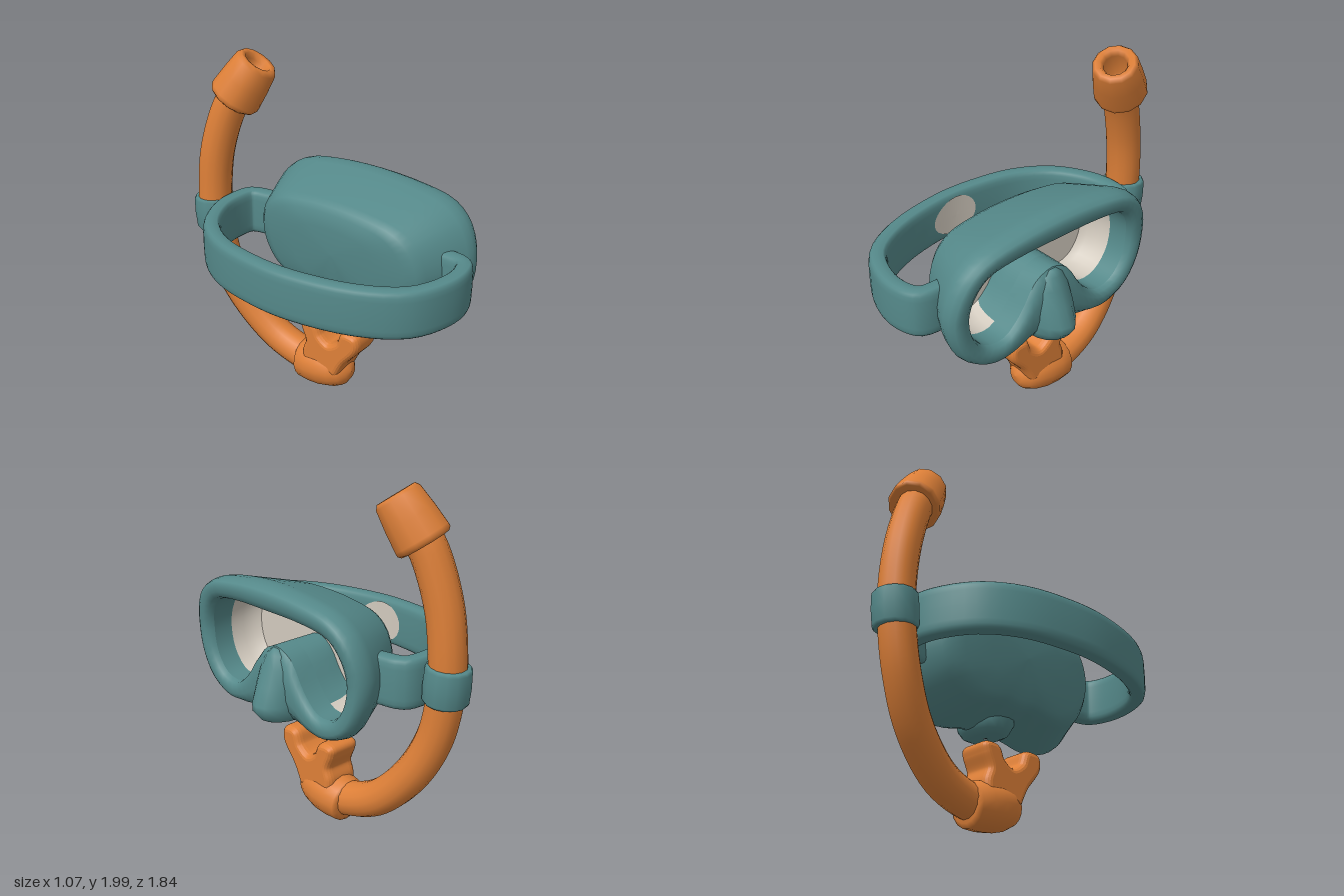
import * as THREE from 'three';

const V = (x, y, z) => new THREE.Vector3(x, y, z);
const mat = (name, color, side = THREE.FrontSide) => {
  const m = new THREE.MeshStandardMaterial({ color, side });
  m.name = name;
  return m;
};

// Skin a list of closed rings; keep(j) picks which ring segments get faces
function loft(rings, keep = () => true) {
  const n = rings[0].length, index = [];
  for (let i = 0; i < rings.length - 1; i++) {
    for (let j = 0; j < n; j++) {
      if (!keep(j)) continue;
      const k = (j + 1) % n, a = i * n, b = a + n;
      index.push(a + j, a + k, b + j, a + k, b + k, b + j);
    }
  }
  const g = new THREE.BufferGeometry().setFromPoints(rings.flat());
  g.setIndex(index);
  g.computeVertexNormals();
  return g;
}

// Closed smooth outline in (z offset, y), mirrored from one half
const MID = 0.115, N = 60;
function outline(half) {
  const pts = half.map(([u, y]) => V(u, y, 0));
  const mirror = pts.slice(1, -1).reverse().map(p => V(-p.x, p.y, 0));
  const curve = new THREE.CatmullRomCurve3([...pts, ...mirror], true, 'centripetal');
  return Array.from({ length: N }, (_, i) => curve.getPoint(i / N));
}
const OUTER = outline([[0, 1.385], [0.3, 1.365], [0.5, 1.32], [0.62, 1.22], [0.685, 1.03], [0.66, 0.85],
  [0.57, 0.7], [0.42, 0.62], [0.28, 0.615], [0.13, 0.645], [0, 0.625]]);
const INNER = outline([[0, 1.24], [0.3, 1.235], [0.47, 1.2], [0.545, 1.1], [0.565, 0.98], [0.535, 0.85],
  [0.45, 0.755], [0.33, 0.74], [0.22, 0.83], [0.11, 0.99], [0, 1.04]]);

export function createModel() {
  const group = new THREE.Group();
  const teal = mat('tealRubber', 0x55898a);
  const orange = mat('orangePlastic', 0xde8038);
  const grey = mat('paleLens', 0xd2cabe, THREE.DoubleSide);
  const add = (name, geo, m) => {
    const mesh = new THREE.Mesh(geo, m);
    mesh.name = name;
    group.add(mesh);
    return mesh;
  };

  // Mask shell: closed back, flaring sides, rounded front rim
  const lean = y => 0.045 * THREE.MathUtils.clamp((y - 1) / 0.33, 0, 1);
  const shell = [[-0.03, 0, 0], [-0.026, 0.4, 0.42], [-0.008, 0.66, 0.64], [0.02, 0.765, 0.72], [0.06, 0.82, 0.78],
    [0.2, 0.92, 0.9], [0.29, 0.985, 0.985], [0.33, 1, 1], [0.37, 0.995, 0.98]].map(([x, su, sy]) => OUTER.map(p => {
    const y = 1 + (p.y - 1) * sy;
    const front = THREE.MathUtils.clamp((x - 0.1) / 0.25, 0, 1);
    return V(x + front * lean(y) - (1 - front) * 0.09 * (y - 1), y, MID + p.x * su);
  }));
  const rim = [[0.402, 0.16], [0.415, 0.35], [0.415, 0.65], [0.4, 0.9], [0.37, 1]].map(([x, t]) =>
    OUTER.map((p, i) => {
      const q = p.clone().lerp(INNER[i], t);
      return V(x + lean(q.y), q.y, MID + q.x);
    }));
  add('maskShell', loft([...shell, ...rim]), teal);

  // Cavity: rubber lip and nose ridge, then a pale dished back
  const inset = (x, s) => INNER.map(p => V(x, 1.04 + (p.y - 1.04) * s, MID + p.x * s));
  const mouth = rim[rim.length - 1];
  const ridge = j => j >= 22 && j < 38;
  const dish = [inset(0.25, 1), inset(0.17, 0.985), inset(0.11, 0.95), inset(0.075, 0.89)];
  add('cavityLip', loft([mouth, dish[0]]), teal);
  add('cavityWall', loft(dish, j => !ridge(j)), grey);
  add('noseRidge', loft(dish, ridge), teal);
  const lensShape = new THREE.Shape(INNER.map(p => new THREE.Vector2(-p.x * 0.89, 1.04 + (p.y - 1.04) * 0.89)));
  const lens = new THREE.ShapeGeometry(lensShape);
  lens.rotateY(Math.PI / 2).translate(0.075, 0, MID);
  add('lensBack', lens, grey);

  // Nose pocket: stacked ellipses, [y, front x, half width]
  const nose = [[0.617, 0.34, 0.01], [0.617, 0.44, 0.075], [0.638, 0.485, 0.12], [0.685, 0.525, 0.135],
    [0.73, 0.528, 0.135], [0.83, 0.488, 0.135], [0.93, 0.448, 0.118], [1.0, 0.423, 0.08], [1.03, 0.4, 0.035],
    [1.037, 0.34, 0.005]].map(([y, fx, w]) => Array.from({ length: 16 }, (_, i) => {
    const a = i / 16 * Math.PI * 2;
    return V(0.33 + (fx - 0.33) * Math.cos(a), y, MID - w * Math.sin(a));
  }));
  add('nosePocket', loft(nose), teal);

  // Head strap: rounded rectangle swept along a flat curve
  const path = new THREE.CatmullRomCurve3([[0.2, 0.68], [0.18, 0.82], [0.1, 0.862], [-0.05, 0.862], [-0.25, 0.775],
    [-0.395, 0.555], [-0.482, 0.2], [-0.482, -0.05], [-0.427, -0.32], [-0.3, -0.515], [-0.1, -0.63], [0.05, -0.65],
    [0.16, -0.625], [0.2, -0.48]].map(([x, z]) => V(x, 0, z)));
  const onStrap = (t, n, y) => {
    const side = path.getTangent(t).cross(V(0, 1, 0));
    return path.getPoint(t).addScaledVector(side, n).setY(0.992 + y);
  };
  const round = (v, e) => Math.sign(v) * Math.pow(Math.abs(v), e);
  const strap = Array.from({ length: 53 }, (_, i) => Array.from({ length: 20 }, (_, j) => {
    const a = j / 20 * Math.PI * 2;
    return onStrap(i / 52, 0.05 * round(Math.sin(a), 0.45), 0.138 * round(Math.cos(a), 0.45));
  }));
  add('headStrap', loft(strap), teal);

  // Pale oval on the inside of the strap
  const patch = new THREE.RingGeometry(0.001, 1, 24, 4);
  const pos = patch.attributes.position;
  for (let i = 0; i < pos.count; i++) {
    const p = onStrap(0.487 + 0.046 * pos.getX(i), 0.053, 0.118 * pos.getY(i));
    pos.setXYZ(i, p.x, p.y, p.z);
  }
  patch.computeVertexNormals();
  add('strapPatch', patch, grey);

  // Snorkel tube
  const tube = new THREE.CatmullRomCurve3([V(0.13, 0.14, -0.06), V(0.125, 0.15, -0.2), V(0.105, 0.23, -0.4),
    V(0.065, 0.43, -0.6), V(0.025, 0.68, -0.725), V(0.015, 0.95, -0.78), V(0.02, 1.15, -0.785),
    V(0.03, 1.4, -0.757), V(0.062, 1.66, -0.68), V(0.09, 1.77, -0.62)]);
  add('snorkelTube', new THREE.TubeGeometry(tube, 48, 0.1, 14), orange);

  // Flared, hollow top piece
  const lathe = (pts, seg) => new THREE.LatheGeometry(pts.map(p => new THREE.Vector2(...p)), seg);
  const cap = add('snorkelTop', lathe([[0.08, 0], [0.135, -0.005], [0.15, 0.01], [0.15, 0.03], [0.14, 0.14],
    [0.125, 0.25], [0.108, 0.272], [0.08, 0.268], [0.064, 0.24], [0.058, 0.1], [0, 0.09]], 12), orange);
  cap.position.set(0.078, 1.705, -0.662);
  cap.quaternion.setFromUnitVectors(V(0, 1, 0), V(0.065, 0.22, 0.13).normalize());

  // Keeper band holding the tube to the strap
  const band = add('keeperBand', lathe([[0.09, -0.1], [0.112, -0.1], [0.122, -0.085], [0.126, 0], [0.122, 0.085],
    [0.112, 0.1], [0.09, 0.1]], 14), teal);
  band.position.set(0.02, 0.995, -0.788);
  band.rotation.x = -0.08;

  // Mouthpiece elbow: blunt bulb around the tube end
  const elbow = add('mouthpieceElbow', lathe([[0, -0.2], [0.1, -0.198], [0.126, -0.18], [0.136, -0.1], [0.136, -0.02],
    [0.122, 0.06], [0.095, 0.12], [0.05, 0.155], [0, 0.165]], 16), orange);
  elbow.position.set(0.128, 0.148, -0.005);
  elbow.rotation.x = Math.PI / 2 - 0.1;

  // Forked bite tabs
  const fork = new THREE.Shape();
  fork.moveTo(0.1, 0.17);
  fork.splineThru([[0.15, 0.27], [0.235, 0.38], [0.24, 0.45], [0.2, 0.465], [0.155, 0.455], [0.125, 0.385],
    [0.05, 0.34], [-0.02, 0.38], [-0.05, 0.44], [-0.09, 0.457], [-0.135, 0.45], [-0.13, 0.41], [-0.1, 0.33],
    [-0.12, 0.26], [-0.12, 0.18]].map(p => new THREE.Vector2(...p)));
  const bite = new THREE.ExtrudeGeometry(fork, {
    depth: 0.125, curveSegments: 30, bevelThickness: 0.045, bevelSize: 0.034, bevelOffset: -0.014, bevelSegments: 4,
  });
  bite.rotateY(-Math.PI / 2).translate(0.19, 0, 0);
  add('biteTabs', bite, orange);

  return group;
}
